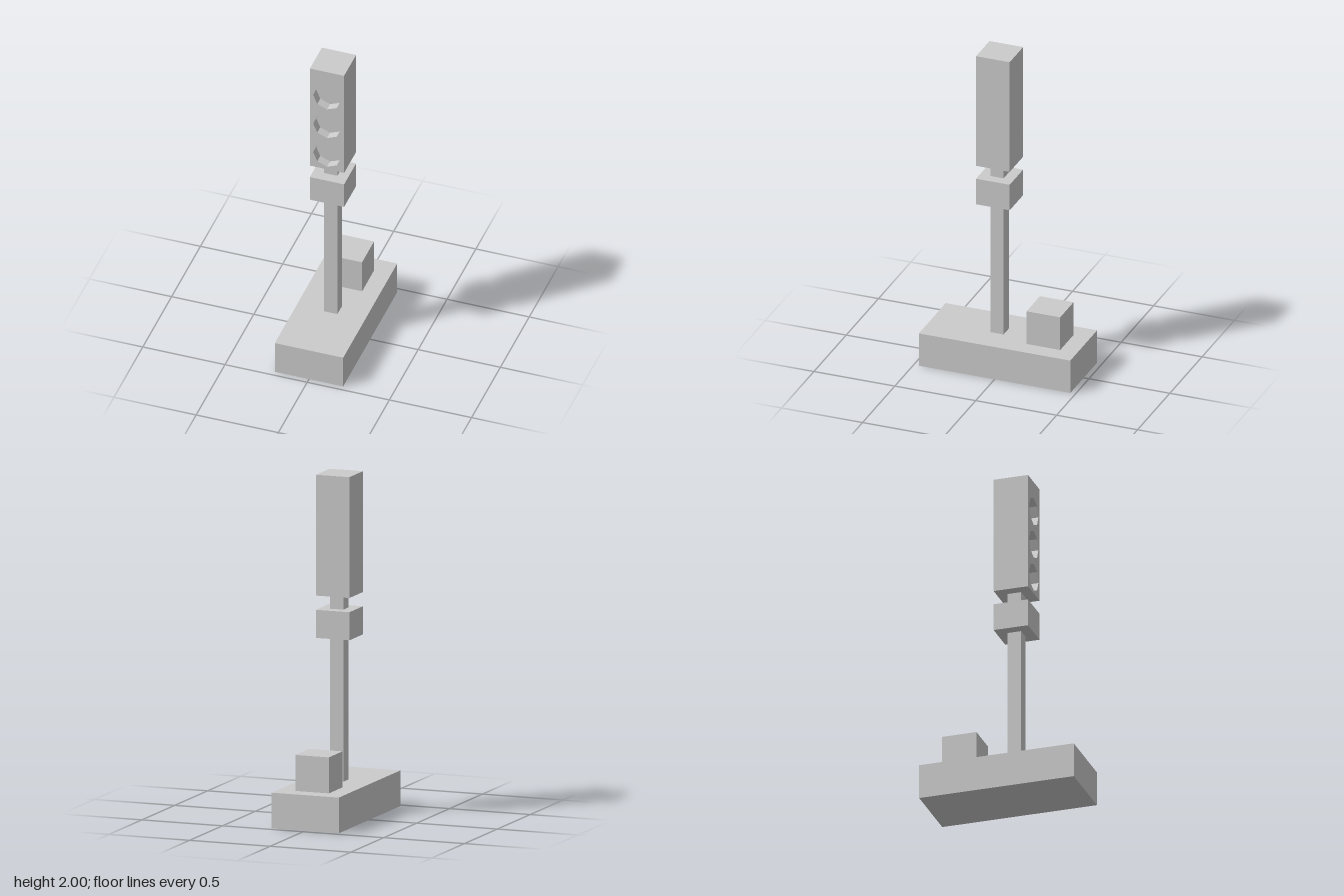
import * as THREE from 'three';

const material = new THREE.MeshStandardMaterial({ color: 0xcccccc, flatShading: true });

export function createModel() {
  const model = new THREE.Group();
  model.name = 'trafficLight';

  // Box given by its width, its y range and its z range, centred on x = 0
  const addBox = (name, width, y0, y1, z0, z1, parent = model) => {
    const mesh = new THREE.Mesh(new THREE.BoxGeometry(width, y1 - y0, z1 - z0), material);
    mesh.name = name;
    mesh.position.set(0, (y0 + y1) / 2, (z0 + z1) / 2);
    parent.add(mesh);
  };

  // Stand
  addBox('base', 0.416, 0, 0.208, -0.468, 0.468);
  addBox('controlBox', 0.208, 0.208, 0.418, -0.364, -0.156);
  addBox('pole', 0.082, 0.208, 1.295, 0.011, 0.093);
  addBox('signalBox', 0.208, 1.048, 1.212, -0.052, 0.156);

  // Lamp head: solid back and a front panel with three octagonal recesses
  const head = new THREE.Group();
  head.name = 'lampHead';
  model.add(head);
  const half = 0.104, bottom = 1.295, top = 2, front = 0.156, depth = 0.052;
  addBox('lampHeadBack', half * 2, bottom, top, -0.052, front - depth, head);

  const panel = new THREE.Shape([
    new THREE.Vector2(-half, bottom), new THREE.Vector2(half, bottom),
    new THREE.Vector2(half, top), new THREE.Vector2(-half, top),
  ]);
  for (const y of [1.398, 1.606, 1.814]) {
    const corners = [];
    for (let i = 0; i < 8; i++) {
      const a = (i * Math.PI) / 4;
      corners.push(new THREE.Vector2(0.084 * Math.cos(a), y + 0.084 * Math.sin(a)));
    }
    panel.holes.push(new THREE.Path(corners));
  }
  const panelMesh = new THREE.Mesh(
    new THREE.ExtrudeGeometry(panel, { depth, bevelEnabled: false }), material);
  panelMesh.name = 'lampPanel';
  panelMesh.position.z = front - depth;
  head.add(panelMesh);

  return model;
}
